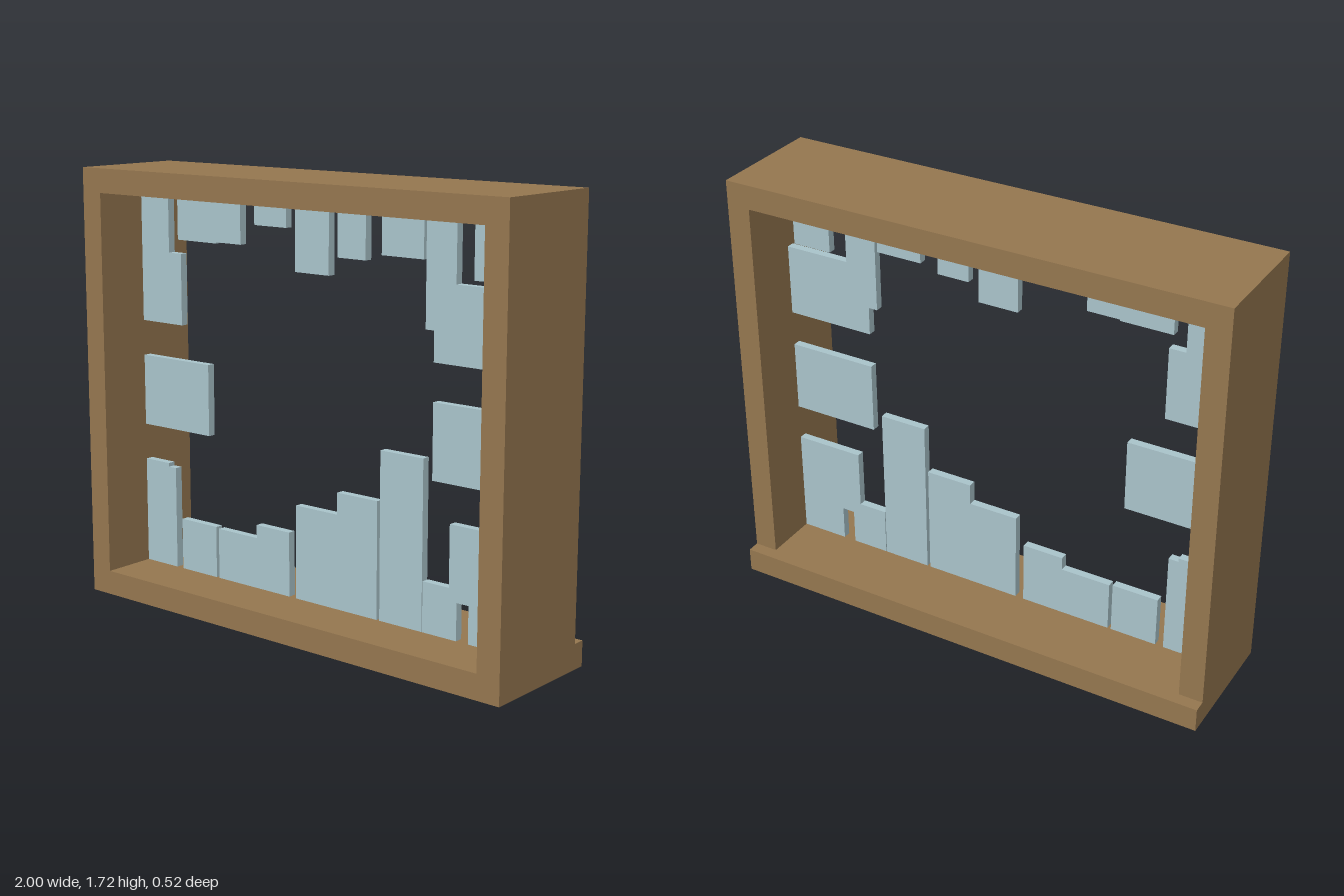
import * as THREE from 'three';

const WIDTH = 1, TOP = 1.715, INNER = 0.905, SILL = 0.097, HEAD = 1.62;
const FRONT = 0.26, BACK = -0.21;

// Shape from a flat list of x, y pairs
function polygon(points) {
  const shape = new THREE.Shape();
  for (let i = 0; i < points.length; i += 2) {
    if (i === 0) shape.moveTo(points[0], points[1]);
    else shape.lineTo(points[i], points[i + 1]);
  }
  shape.closePath();
  return shape;
}

const rect = (x0, x1, y0, y1) => [x0, y0, x1, y0, x1, y1, x0, y1];

// Flat slab of a shape between two depths
function slab(name, shape, z0, z1, material) {
  const geometry = new THREE.ExtrudeGeometry(shape, { depth: z1 - z0, bevelEnabled: false });
  geometry.translate(0, 0, z0);
  const mesh = new THREE.Mesh(geometry, material);
  mesh.name = name;
  return mesh;
}

export function createModel() {
  const model = new THREE.Group();
  model.name = 'brokenWindow';
  const wood = new THREE.MeshStandardMaterial({ color: 0x94764f });
  wood.name = 'wood';
  const glass = new THREE.MeshStandardMaterial({ color: 0xa9c3ca });
  glass.name = 'glass';

  // Deep wooden frame with a square opening
  const frame = polygon(rect(-WIDTH, WIDTH, 0, TOP));
  frame.holes.push(polygon(rect(-INNER, INNER, SILL, HEAD)));
  model.add(slab('frame', frame, BACK, FRONT, wood));

  // Sill lip sticking out at the back
  model.add(slab('sillLip', polygon(rect(-WIDTH, WIDTH, 0, SILL)), -0.26, BACK, wood));

  // Blocky shards still held along the edges of the opening
  const shards = {
    shardTopLeftCorner: [-INNER, HEAD, -INNER, 1.097, -0.69, 1.097, -0.69, 1.38, -0.755, 1.38, -0.755, HEAD],
    shardTopRightCorner: [0.508, HEAD, 0.508, 1.21, 0.545, 1.21, 0.545, 1.097, INNER, 1.097, INNER, 1.38, 0.638, 1.38, 0.638, HEAD],
    shardMiddleLeft: rect(-INNER, -0.55, 0.67, 0.955),
    shardMiddleRight: rect(0.545, INNER, 0.67, 0.955),
    shardBottomLeftCorner: [-INNER, SILL, -0.738, SILL, -0.738, 0.51, -0.778, 0.51, -0.778, 0.525, -INNER, 0.525],
    shardBottomRightCorner: [0.508, SILL, 0.66, SILL, 0.66, 0.24, 0.712, 0.24, 0.712, SILL, INNER, SILL,
      INNER, 0.525, 0.625, 0.525, 0.625, 0.29, 0.508, 0.29],
    shardBottomStepLow: [-0.503, SILL, -0.132, SILL, -0.132, 0.353, -0.3, 0.353, -0.3, 0.3, -0.503, 0.3],
    shardBottomStepHigh: [-0.097, SILL, 0.297, SILL, 0.297, 0.552, 0.107, 0.552, 0.107, 0.467, -0.097, 0.467],
    shardTopStep: [-0.705, HEAD, -0.705, 1.435, -0.5, 1.435, -0.5, 1.44, -0.372, 1.44, -0.372, HEAD],
  };

  // Plain shards hanging from the head: x from, x to, lower edge
  [[-0.3, -0.142, 1.52], [-0.097, 0.065, 1.36], [0.107, 0.237, 1.43], [0.31, 0.497, 1.455], [0.712, 0.873, 1.4]]
    .forEach(([x0, x1, y], i) => { shards[`shardHanging${i + 1}`] = rect(x0, x1, y, HEAD); });

  // Plain shards standing on the sill: x from, x to, upper edge
  [[-0.705, -0.517, 0.305], [0.31, 0.505, 0.745]]
    .forEach(([x0, x1, y], i) => { shards[`shardStanding${i + 1}`] = rect(x0, x1, SILL, y); });

  const pane = new THREE.Group();
  pane.name = 'brokenPane';
  for (const [name, points] of Object.entries(shards)) {
    pane.add(slab(name, polygon(points), 0.009, 0.041, glass));
  }
  model.add(pane);
  return model;
}
